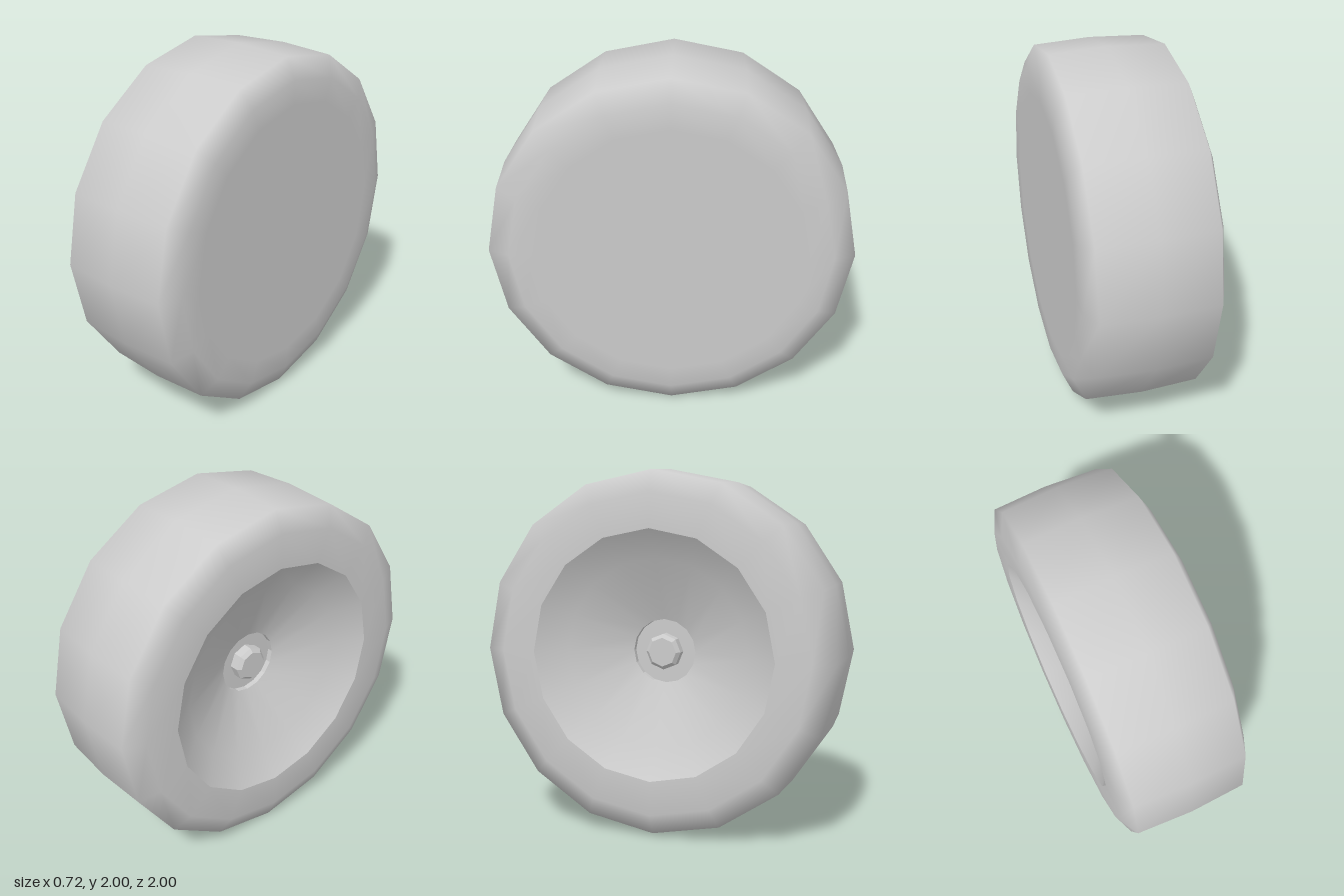
import * as THREE from 'three';

const SIDES = 16;

// Turns a profile of [x, radius] pairs around the wheel's sideways axle
function turned(name, profile, sides, flatShading = false) {
  const points = profile.map(([x, r]) => new THREE.Vector2(r, x));
  const geometry = new THREE.LatheGeometry(points, sides);
  geometry.rotateZ(-Math.PI / 2);
  const material = new THREE.MeshStandardMaterial({ color: 0xcccccc, flatShading });
  const mesh = new THREE.Mesh(geometry, material);
  mesh.name = name;
  return mesh;
}

export function createModel() {
  const wheel = new THREE.Group();
  wheel.name = 'wheel';

  // Tyre: dish lip, sidewall, crowned tread, far shoulder
  wheel.add(turned('tyre', [
    [-0.36, 0.68], [-0.36, 0.87], [-0.31, 0.985], [0, 1],
    [0.31, 0.985], [0.36, 0.87], [0.36, 0.74],
  ], SIDES));

  // Flat closed face on the left side
  wheel.add(turned('sideDisc', [[0.36, 0.74], [0.36, 0]], SIDES));

  // Hollow dish on the right side, steep at the lip and shallow towards the hub
  wheel.add(turned('dish', [[-0.11, 0.18], [-0.25, 0.52], [-0.36, 0.68]], SIDES));

  // Shallow recess around the axle
  wheel.add(turned('hubRecess', [[-0.08, 0], [-0.08, 0.18], [-0.11, 0.18]], SIDES, true));

  // Axle nut
  wheel.add(turned('axleNut', [[-0.15, 0], [-0.15, 0.08], [-0.13, 0.1], [-0.08, 0.1]], 8, true));

  wheel.position.y = 1;
  const model = new THREE.Group();
  model.add(wheel);
  return model;
}
